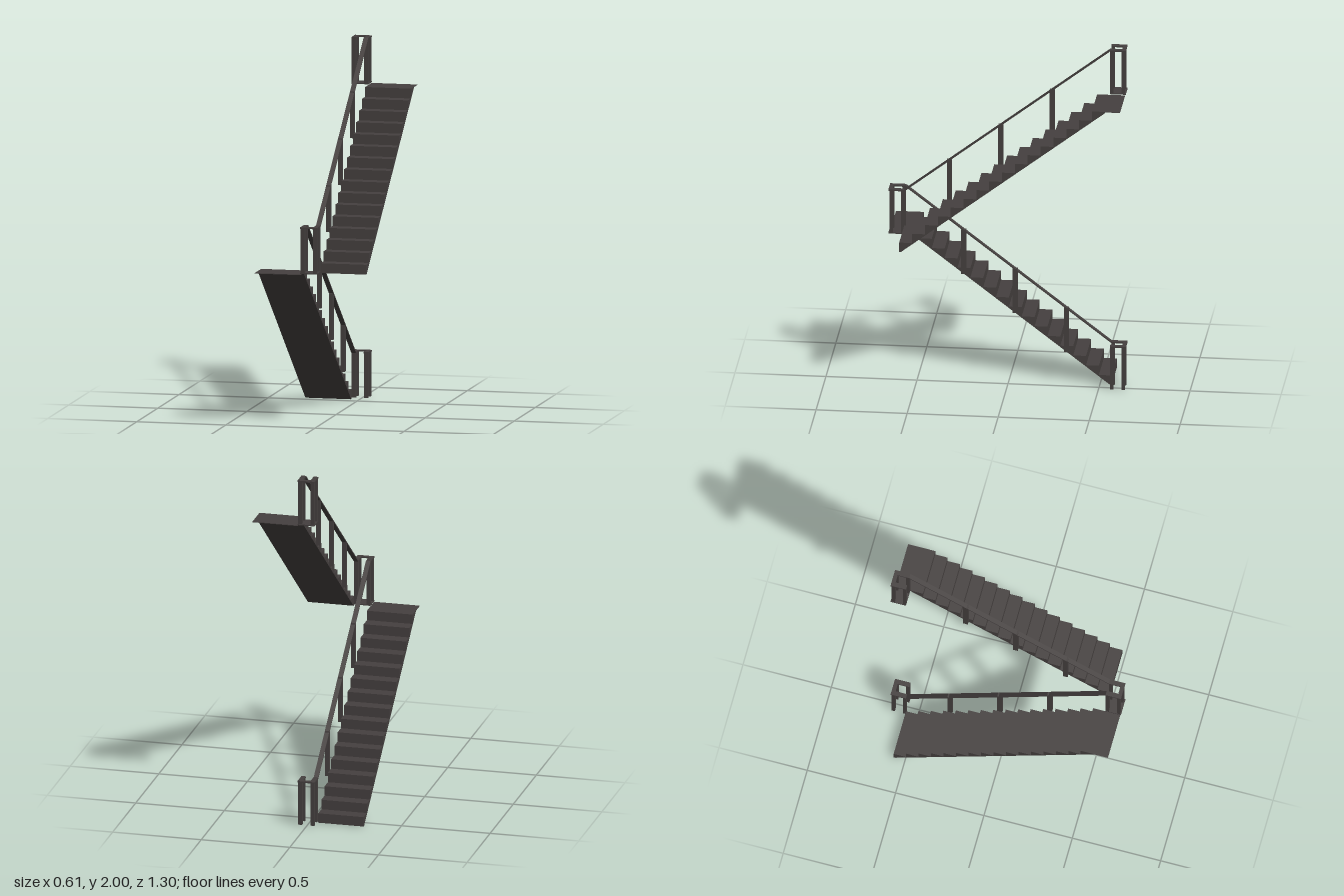
import * as THREE from 'three';

const STEPS = 16, RUN = 0.0706, RISE = 0.0543;
const Z0 = -STEPS * RUN / 2;          // foot of a flight
const FLOOR = STEPS * RISE;           // height of one flight
const INNER = 0.046, OUTER = 0.303;   // stair edges in x
const RAIL_X = 0.0345, RAIL_W = 0.026, RAIL_T = 0.008, RAIL_H = 0.262;
const NEWEL_END = 0.652;

const darkMetal = new THREE.MeshStandardMaterial({ color: 0x45403f });
darkMetal.name = 'darkMetal';

function add(parent, name, geometry) {
  const mesh = new THREE.Mesh(geometry, darkMetal);
  mesh.name = name;
  parent.add(mesh);
  return mesh;
}

// Box given by its low and high corners
function box(parent, name, [x0, y0, z0], [x1, y1, z1]) {
  const mesh = add(parent, name, new THREE.BoxGeometry(x1 - x0, y1 - y0, z1 - z0));
  mesh.position.set((x0 + x1) / 2, (y0 + y1) / 2, (z0 + z1) / 2);
  return mesh;
}

// Extrude a (z, y) outline from x0 towards -x
function extrudeAcross(points, x0, width) {
  const shape = new THREE.Shape(points.map(([z, y]) => new THREE.Vector2(z, y)));
  const geometry = new THREE.ExtrudeGeometry(shape, { depth: width, bevelEnabled: false });
  return geometry.rotateY(-Math.PI / 2).translate(x0, 0, 0);
}

// One flight rising towards +z on the -x side, with its handrail
function flight() {
  const g = new THREE.Group();
  const lip = 0.008;
  const outline = [[Z0, 0]];
  for (let i = 0; i < STEPS; i++) {
    outline.push([Z0 + i * RUN, (i + 1) * RISE], [Z0 + (i + 1) * RUN, (i + 1) * RISE]);
  }
  outline.push([-Z0, FLOOR - lip], [Z0 + lip * RUN / RISE, 0]);
  add(g, 'steps', extrudeAcross(outline, -INNER, OUTER - INNER));

  // top tread carried on as a thin landing
  box(g, 'landing', [-OUTER, FLOOR - 0.003, -Z0], [-INNER, FLOOR, NEWEL_END - 0.004]);

  // sloping handrail
  const low = RAIL_H, high = FLOOR + RAIL_H;
  add(g, 'handrail', extrudeAcross(
    [[Z0, low - RAIL_T], [-Z0, high - RAIL_T], [-Z0, high], [Z0, low]],
    -RAIL_X + RAIL_W / 2, RAIL_W));

  // balusters at every fourth step
  for (const s of [3.5, 7.5, 11.5]) {
    const z = Z0 + s * RUN, foot = s * RISE, top = foot + RAIL_H - 0.004;
    box(g, 'baluster', [-0.0455, foot, z - 0.0135], [-0.0235, top, z + 0.0135]);
  }
  return g;
}

// Four-post turn of the railing at the -z end, capped by a U-shaped rail
function newel(withFloor) {
  const g = new THREE.Group();
  const out = RAIL_X + RAIL_W / 2, inn = RAIL_X - RAIL_W / 2;
  const y0 = RAIL_H - RAIL_T, y1 = RAIL_H;
  for (const side of [-1, 1]) {
    const x = side * RAIL_X;
    for (const z of [Z0 - 0.009, -NEWEL_END + 0.015]) {
      box(g, 'newelPost', [x - 0.011, 0.008, z - 0.009], [x + 0.011, y0, z + 0.009]);
    }
    box(g, 'capSide', [x - RAIL_W / 2, y0, -NEWEL_END], [x + RAIL_W / 2, y1, Z0]);
  }
  box(g, 'capEnd', [-inn, y0, -NEWEL_END], [inn, y1, -NEWEL_END + 0.022]);
  if (withFloor) box(g, 'newelFloor', [-out, 0.004, -NEWEL_END], [out, 0.01, Z0]);
  return g;
}

export function createModel() {
  const model = new THREE.Group();
  model.name = 'staircase';

  // each level is turned half round from the one below
  for (let level = 0; level < 3; level++) {
    const storey = new THREE.Group();
    storey.name = ['lowerFlight', 'upperFlight', 'topRailing'][level];
    if (level < 2) storey.add(flight());
    const turn = newel(level > 0);
    turn.name = 'newel';
    storey.add(turn);
    storey.position.y = level * FLOOR;
    storey.rotation.y = level * Math.PI;
    model.add(storey);
  }
  return model;
}
